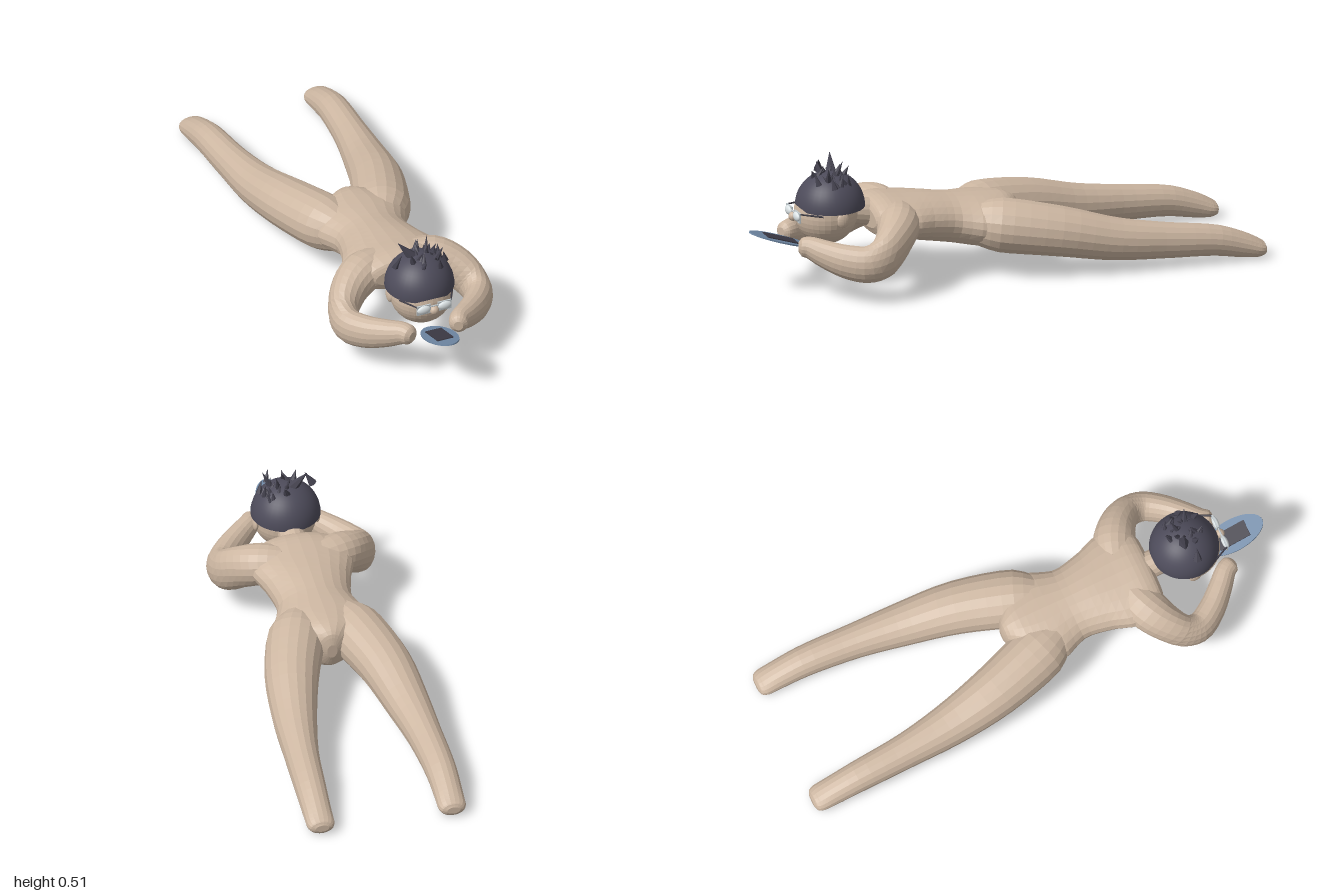
import * as THREE from 'three';

const V = (x, y, z) => new THREE.Vector3(x, y, z);

// Smooth limb through stations [x, y, z, halfWidth, halfHeight], closed at both ends
function loft(stations, rings, sides) {
  const path = new THREE.CatmullRomCurve3(stations.map(s => V(s[0], s[1], s[2])));
  const size = new THREE.CatmullRomCurve3(stations.map(s => V(s[3], s[4], 0)));
  const pos = [], idx = [];
  for (let i = 0; i <= rings; i++) {
    const c = path.getPoint(i / rings), r = size.getPoint(i / rings);
    const t = path.getTangent(i / rings);
    const side = V(0, 1, 0).cross(t).normalize();
    const up = t.clone().cross(side);
    for (let j = 0; j < sides; j++) {
      const a = j / sides * Math.PI * 2;
      const p = c.clone().addScaledVector(side, Math.cos(a) * r.x).addScaledVector(up, Math.sin(a) * r.y);
      pos.push(p.x, p.y, p.z);
    }
  }
  const first = pos.length / 3, last = first + 1;
  for (const s of [stations[0], stations[stations.length - 1]]) pos.push(s[0], s[1], s[2]);
  const at = (i, j) => i * sides + j % sides;
  for (let j = 0; j < sides; j++) {
    for (let i = 0; i < rings; i++) {
      idx.push(at(i, j), at(i, j + 1), at(i + 1, j));
      idx.push(at(i, j + 1), at(i + 1, j + 1), at(i + 1, j));
    }
    idx.push(first, at(0, j + 1), at(0, j), last, at(rings, j), at(rings, j + 1));
  }
  const g = new THREE.BufferGeometry();
  g.setAttribute('position', new THREE.Float32BufferAttribute(pos, 3));
  g.setIndex(idx);
  g.computeVertexNormals();
  return g;
}

// Cylinder or cone running from a to b
function rod(a, b, rA, rB, sides) {
  const d = b.clone().sub(a);
  const g = new THREE.CylinderGeometry(rB, rA, d.length(), sides);
  g.applyQuaternion(new THREE.Quaternion().setFromUnitVectors(V(0, 1, 0), d.clone().normalize()));
  const m = a.clone().add(b).multiplyScalar(0.5);
  return g.translate(m.x, m.y, m.z);
}

function ellipsoid(x, y, z, rx, ry, rz, w = 20, h = 14) {
  return new THREE.SphereGeometry(1, w, h).scale(rx, ry, rz).translate(x, y, z);
}

export function createModel() {
  const model = new THREE.Group();
  model.name = 'lyingFigure';
  const mat = (name, color, flatShading = false) =>
    new THREE.MeshStandardMaterial({ name, color, flatShading });
  const skin = mat('skin', 0xcdb7a2, true);
  const hair = mat('hair', 0x4d4b5a);
  const spikeHair = mat('dark hair spikes', 0x454350, true);
  const glass = mat('glass', 0xc3ccd0);
  const eyeWhite = mat('eye white', 0xdde4e6);
  const dark = mat('dark frame', 0x3c3a45);
  const blue = mat('blue disc', 0x7089a6);
  const add = (name, geometry, material) => {
    const m = new THREE.Mesh(geometry, material);
    m.name = name;
    model.add(m);
    return m;
  };

  // Torso, from the crotch to the shoulders
  add('torso', loft([
    [0, 0.195, -0.09, 0.02, 0.03], [0, 0.196, -0.075, 0.06, 0.075],
    [0, 0.198, -0.02, 0.14, 0.1], [0, 0.206, 0.08, 0.188, 0.102],
    [0, 0.222, 0.2, 0.147, 0.094], [0, 0.24, 0.3, 0.166, 0.09],
    [0, 0.257, 0.4, 0.2, 0.082], [0, 0.265, 0.47, 0.19, 0.08],
    [0, 0.267, 0.515, 0.16, 0.066], [0, 0.267, 0.53, 0.12, 0.04],
  ], 30, 24), skin);
  add('neck', rod(V(0, 0.275, 0.49), V(0, 0.295, 0.62), 0.055, 0.05, 16), skin);

  for (const s of [1, -1]) {
    const side = s > 0 ? 'left' : 'right';
    const mirror = list => list.map(([x, ...rest]) => [x * s, ...rest]);

    // Leg with rounded foot
    add(side + 'Leg', loft(mirror([
      [0.075, 0.208, 0.12, 0.07, 0.08], [0.122, 0.198, 0, 0.112, 0.106],
      [0.185, 0.17, -0.2, 0.103, 0.097], [0.221, 0.128, -0.4, 0.085, 0.083],
      [0.243, 0.105, -0.6, 0.067, 0.07], [0.255, 0.085, -0.8, 0.06, 0.06],
      [0.257, 0.055, -0.91, 0.056, 0.049], [0.257, 0.038, -0.97, 0.054, 0.036],
      [0.257, 0.036, -0.992, 0.045, 0.027], [0.257, 0.036, -1, 0.026, 0.014],
    ]), 32, 18), skin);

    // Arm bent at the elbow, hand below the chin
    add(side + 'Arm', loft(mirror([
      [0.07, 0.265, 0.42, 0.07, 0.07], [0.15, 0.258, 0.45, 0.082, 0.08],
      [0.218, 0.225, 0.495, 0.07, 0.082], [0.264, 0.178, 0.555, 0.058, 0.08],
      [0.268, 0.16, 0.615, 0.055, 0.073], [0.225, 0.164, 0.685, 0.052, 0.067],
      [0.165, 0.182, 0.748, 0.046, 0.056], [0.115, 0.2, 0.795, 0.04, 0.044],
      [0.1, 0.202, 0.822, 0.036, 0.038], [0.094, 0.202, 0.836, 0.018, 0.02],
    ]), 30, 18), skin);

    // Ear, eye, and one half of the glasses
    add(side + 'Ear', ellipsoid(s * 0.12, 0.295, 0.665, 0.012, 0.03, 0.025), skin);
    add(side + 'Eye', ellipsoid(s * 0.043, 0.307, 0.824, 0.028, 0.018, 0.012), eyeWhite);
    add(side + 'Lens', new THREE.BoxGeometry(0.056, 0.04, 0.006).translate(s * 0.043, 0.306, 0.821), glass);
    add(side + 'Temple', rod(V(s * 0.07, 0.322, 0.82), V(s * 0.108, 0.314, 0.74), 0.003, 0.004, 8), dark);
  }

  // Head
  add('head', ellipsoid(0, 0.298, 0.69, 0.122, 0.122, 0.122, 32, 20), skin);
  add('nose', ellipsoid(0, 0.295, 0.823, 0.018, 0.018, 0.018), skin);
  add('glassesBridge', rod(V(-0.018, 0.315, 0.823), V(0.018, 0.315, 0.823), 0.003, 0.003, 8), glass);

  // Hair cap with a closed underside
  add('hairCap', new THREE.SphereGeometry(0.134, 36, 14, 0, Math.PI * 2, 0, Math.PI / 2)
    .translate(0, 0.322, 0.673), hair);
  add('hairCapUnderside', new THREE.CircleGeometry(0.134, 36).rotateX(Math.PI / 2)
    .translate(0, 0.322, 0.673), hair);

  // Large spikes: base, tip, base radius
  const spikes = [
    [-0.108, 0.433, 0.68, -0.078, 0.483, 0.69, 0.018],
    [-0.022, 0.44, 0.66, -0.078, 0.511, 0.645, 0.024],
    [-0.035, 0.44, 0.7, -0.05, 0.488, 0.71, 0.015],
    [0.03, 0.44, 0.66, 0.045, 0.509, 0.638, 0.013],
    [0.055, 0.435, 0.7, 0.083, 0.495, 0.71, 0.014],
    [0.085, 0.42, 0.66, 0.083, 0.47, 0.65, 0.013],
    [0.1, 0.415, 0.69, 0.088, 0.465, 0.7, 0.013],
    [0.06, 0.425, 0.74, 0.05, 0.475, 0.755, 0.012],
    [0.01, 0.44, 0.62, 0.02, 0.477, 0.605, 0.012],
  ];
  // Small spikes scattered over the crown
  let seed = 7;
  const rand = () => (seed = (seed * 16807) % 2147483647) / 2147483647;
  for (let i = 0; i < 18; i++) {
    const a = rand() * Math.PI * 2, r = 0.085 * Math.sqrt(rand());
    const x = 0.02 + Math.cos(a) * r * 0.85, dz = Math.sin(a) * r;
    const y = 0.315 + Math.sqrt(0.134 ** 2 - x * x - dz * dz);
    spikes.push([x, y, 0.673 + dz, x + (rand() - 0.5) * 0.04, y + 0.025 + rand() * 0.02,
      0.673 + dz + (rand() - 0.5) * 0.05, 0.007 + rand() * 0.005]);
  }
  spikes.forEach(([x, y, z, tx, ty, tz, r], i) =>
    add('hairSpike' + (i + 1), rod(V(x, y, z), V(tx, ty, tz), r, 0, 6), spikeHair));

  // Tilted oval disc held in the hands, with a dark panel on top
  const disc = new THREE.Group();
  disc.name = 'ovalDisc';
  disc.position.set(0, 0.211, 0.88);
  disc.rotation.x = -0.314;
  const plate = new THREE.Mesh(new THREE.CylinderGeometry(1, 1, 0.005, 40).scale(0.063, 1, 0.126), blue);
  plate.name = 'discPlate';
  const panel = new THREE.Mesh(new THREE.BoxGeometry(0.066, 0.005, 0.13).translate(0, 0.004, -0.005), dark);
  panel.name = 'discPanel';
  disc.add(plate, panel);
  model.add(disc);

  return model;
}
